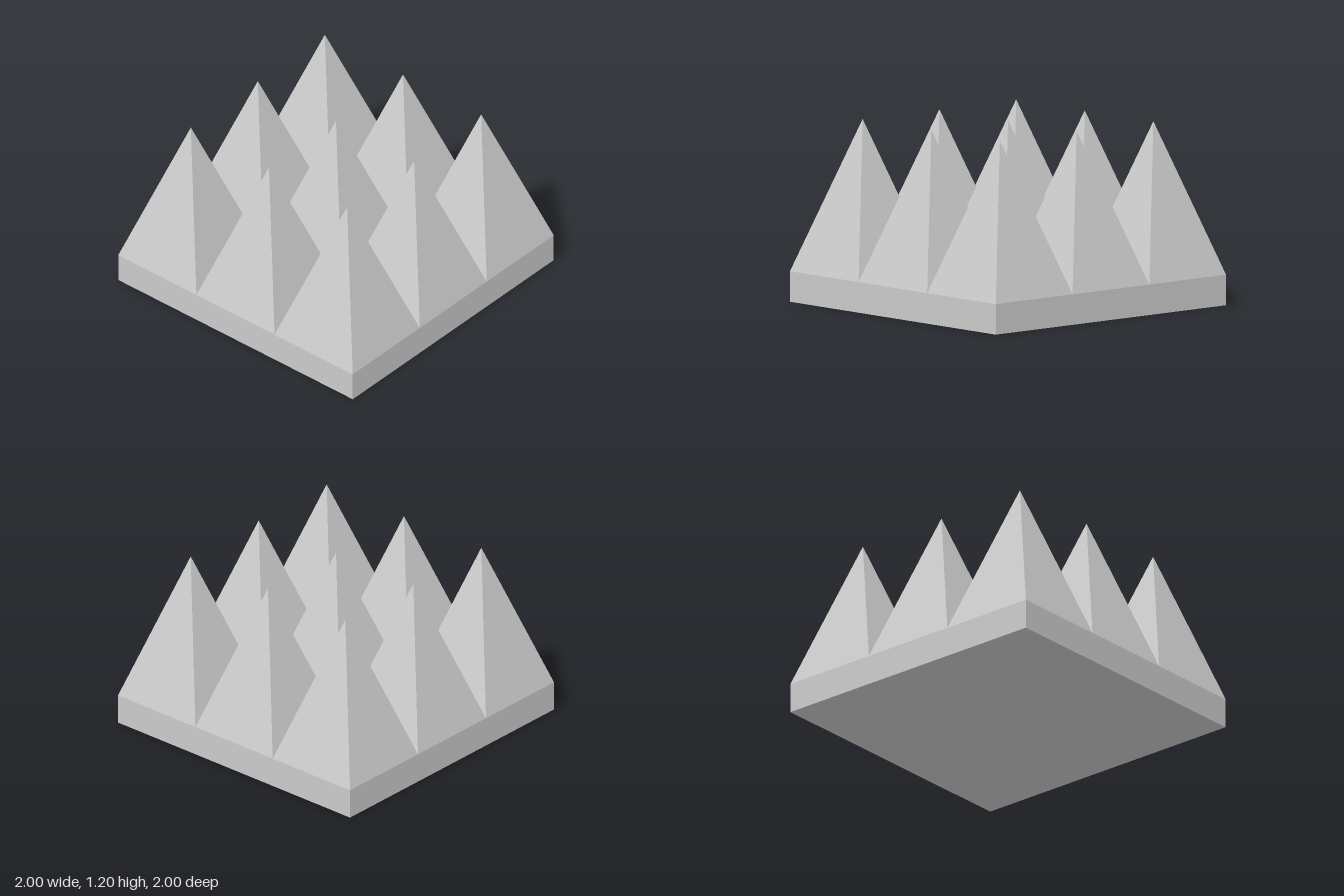
import * as THREE from 'three';

const COUNT = 3;          // pyramids per side
const SIZE = 2;           // side of the square slab
const BASE_HEIGHT = 0.2;
const SPIKE_HEIGHT = 1;

export function createModel() {
  const model = new THREE.Group();
  model.name = 'pyramidFoamTile';
  const material = new THREE.MeshStandardMaterial({ color: 0xcccccc, flatShading: true });

  // Square slab
  const base = new THREE.Mesh(new THREE.BoxGeometry(SIZE, BASE_HEIGHT, SIZE), material);
  base.name = 'base';
  base.position.y = BASE_HEIGHT / 2;
  model.add(base);

  // Four-sided pyramids, sides aligned with the slab, open where they meet it
  const cell = SIZE / COUNT;
  const pyramid = new THREE.ConeGeometry(cell * Math.SQRT1_2, SPIKE_HEIGHT, 4, 1, true, Math.PI / 4)
    .toNonIndexed();
  pyramid.computeVertexNormals();

  const spikes = new THREE.Group();
  spikes.name = 'pyramids';
  for (let row = 0; row < COUNT; row++) {
    for (let col = 0; col < COUNT; col++) {
      const spike = new THREE.Mesh(pyramid, material);
      spike.name = `pyramid_${row + 1}_${col + 1}`;
      spike.position.set(
        (col - (COUNT - 1) / 2) * cell,
        BASE_HEIGHT + SPIKE_HEIGHT / 2,
        (row - (COUNT - 1) / 2) * cell
      );
      spikes.add(spike);
    }
  }
  model.add(spikes);
  return model;
}
